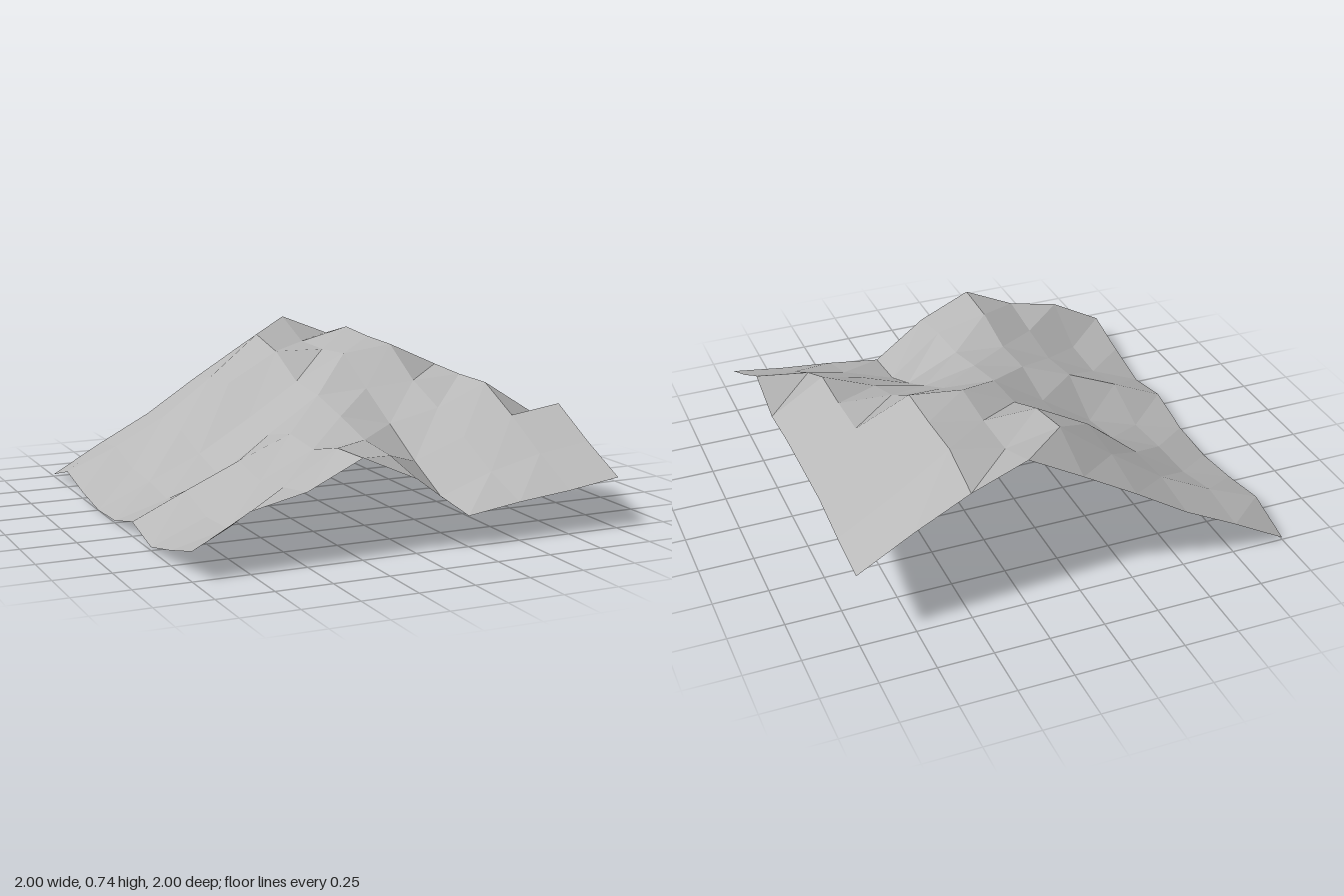
import * as THREE from 'three';

// Ground heights on a 9 x 9 grid: rows run back to front, columns from -x to +x
const HEIGHTS = [
  [0.01, 0.15, 0.28, 0.44, 0.59, 0.735, 0.635, 0.505, 0.36],
  [0.075, 0.18, 0.31, 0.49, 0.69, 0.64, 0.70, 0.53, 0.38],
  [0.03, 0.12, 0.29, 0.50, 0.64, 0.635, 0.685, 0.54, 0.415],
  [0.0, 0.11, 0.22, 0.37, 0.53, 0.65, 0.68, 0.565, 0.415],
  [0.01, 0.085, 0.17, 0.34, 0.505, 0.52, 0.54, 0.553, 0.415],
  [0.065, 0.18, 0.29, 0.39, 0.45, 0.395, 0.45, 0.553, 0.395],
  [0.015, 0.12, 0.25, 0.37, 0.39, 0.27, 0.36, 0.44, 0.475],
  [0.065, 0.13, 0.28, 0.425, 0.37, 0.163, 0.25, 0.31, 0.345],
  [0.125, 0.26, 0.315, 0.433, 0.32, 0.135, 0.17, 0.195, 0.23],
];

export function createModel() {
  const model = new THREE.Group();
  model.name = 'terrain';

  const stone = new THREE.MeshStandardMaterial({ color: 0xb8b8b8, flatShading: true, side: THREE.DoubleSide });
  stone.name = 'stone grey';

  // Faceted hillside: a flat grid lifted to the height of each grid point
  const segments = HEIGHTS.length - 1;
  const ground = new THREE.PlaneGeometry(2, 2, segments, segments);
  ground.rotateX(-Math.PI / 2);
  const position = ground.attributes.position;
  HEIGHTS.flat().forEach((height, i) => position.setY(i, height));
  ground.computeVertexNormals();

  const hillside = new THREE.Mesh(ground, stone);
  hillside.name = 'hillside';
  model.add(hillside);
  return model;
}
